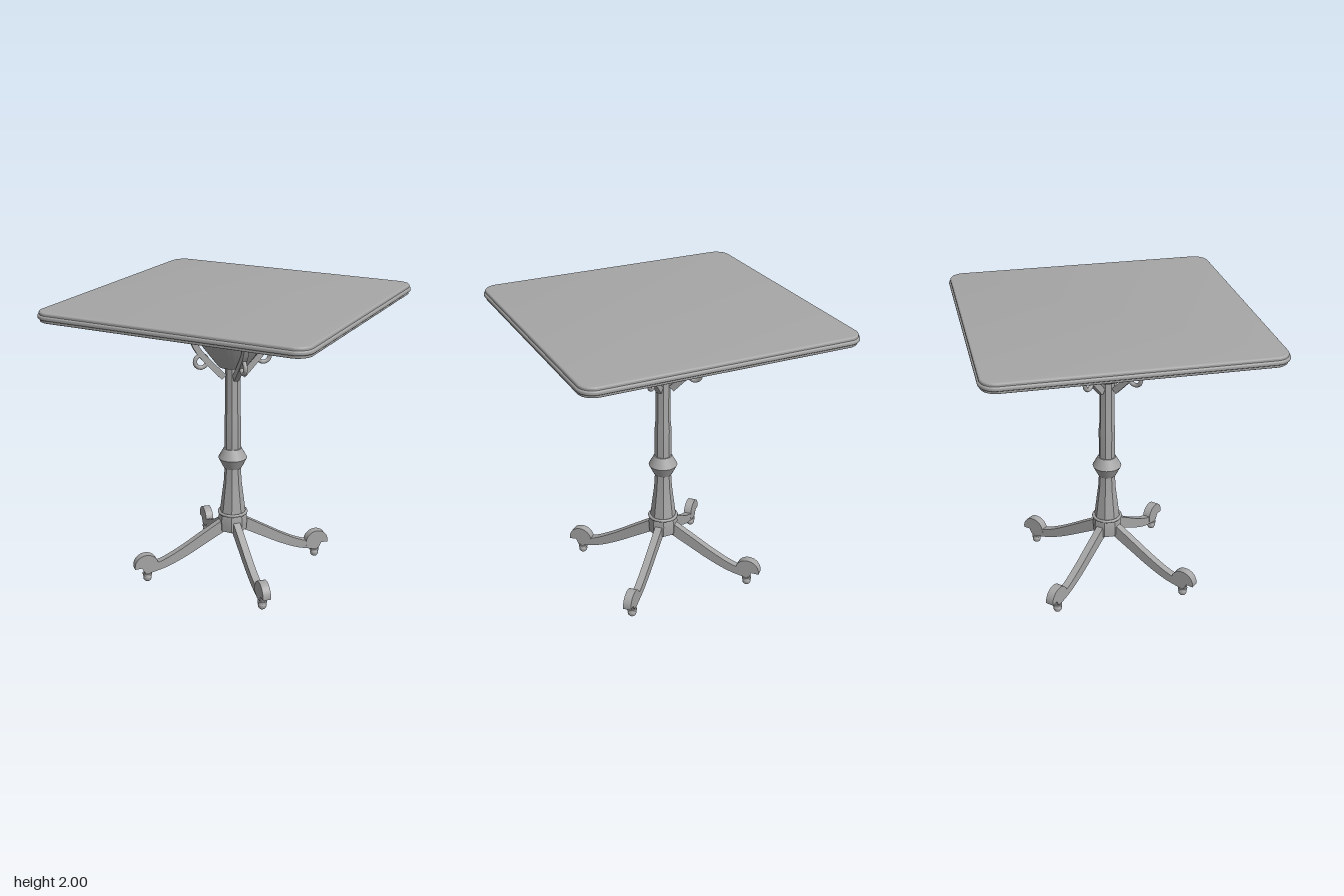
import * as THREE from 'three';
import { toCreasedNormals } from 'three/addons/utils/BufferGeometryUtils.js';

const V = (x, y) => new THREE.Vector2(x, y);

export function createModel() {
  const table = new THREE.Group();
  table.name = 'pedestalTable';
  const grey = new THREE.MeshStandardMaterial({ color: 0xa6a6a6 });
  grey.name = 'grey';

  const add = (parent, name, geometry, crease = 0.6) => {
    const mesh = new THREE.Mesh(toCreasedNormals(geometry, crease), grey);
    mesh.name = name;
    parent.add(mesh);
    return mesh;
  };

  // Flat slab with rounded corners and a bevelled rim
  const slab = (half, radius, y0, y1, bevel) => {
    const h = half - bevel, r = radius - bevel, c = h - r;
    const s = new THREE.Shape();
    s.absarc(c, c, r, 0, Math.PI / 2);
    s.absarc(-c, c, r, Math.PI / 2, Math.PI);
    s.absarc(-c, -c, r, Math.PI, Math.PI * 1.5);
    s.absarc(c, -c, r, Math.PI * 1.5, Math.PI * 2);
    const g = new THREE.ExtrudeGeometry(s, {
      depth: y1 - y0 - 2 * bevel, bevelThickness: bevel, bevelSize: bevel, bevelSegments: 3, curveSegments: 8,
    });
    return g.rotateX(-Math.PI / 2).translate(0, y0 + bevel, 0);
  };

  // Extrude a shape, centred on its own plane
  const plate = (shape, width) =>
    new THREE.ExtrudeGeometry(shape, { depth: width, bevelEnabled: false, curveSegments: 14 }).translate(0, 0, -width / 2);

  // Curved bar whose thickness varies along a path of (radius, height) points
  const bar = (points, t0, t1, width) => {
    const curve = new THREE.SplineCurve(points.map(([x, y]) => V(x, y)));
    const upper = [], lower = [];
    for (let i = 0; i <= 18; i++) {
      const u = i / 18, p = curve.getPoint(u), t = curve.getTangent(u);
      const n = V(-t.y, t.x).multiplyScalar((t0 + (t1 - t0) * u) / 2);
      upper.push(p.clone().add(n));
      lower.unshift(p.clone().sub(n));
    }
    return plate(new THREE.Shape([...upper, ...lower]), width);
  };

  // Lathed part; octagons are turned so that a face looks forward
  const turned = (points, sides) => {
    const k = sides === 8 ? 1 / Math.cos(Math.PI / 8) : 1;
    const g = new THREE.LatheGeometry(points.map(([r, y]) => V(r * k, y)), sides);
    return sides === 8 ? g.rotateY(Math.PI / 8) : g;
  };

  // Table top: lower lip, bead and upper lip
  const top = new THREE.Group();
  top.name = 'tableTop';
  table.add(top);
  add(top, 'lowerLip', slab(0.93, 0.1, 1.932, 1.96, 0.005));
  add(top, 'edgeBead', slab(0.943, 0.11, 1.95, 1.98, 0.012));
  add(top, 'upperLip', slab(0.933, 0.1, 1.97, 2, 0.011));
  add(table, 'mountingPlate', new THREE.BoxGeometry(1.036, 0.057, 1.036).translate(0, 1.904, 0));

  // Funnel below the plate
  add(table, 'funnel', turned([[0, 1.525], [0.1, 1.525], [0.24, 1.71], [0.285, 1.88]], 32), 0.4);

  // Pedestal
  add(table, 'upperColumn', turned([[0.053, 0.92], [0.053, 1.14], [0.048, 1.2], [0.048, 1.54]], 8));
  add(table, 'collar', turned([[0.05, 0.785], [0.062, 0.785], [0.1, 0.86], [0.062, 0.93], [0.045, 0.93]], 24), 0.5);
  add(table, 'lowerColumn', turned([[0.085, 0.44], [0.072, 0.56], [0.058, 0.68], [0.052, 0.79]], 8));
  add(table, 'baseRing', new THREE.TorusGeometry(0.095, 0.011, 8, 32).rotateX(Math.PI / 2).translate(0, 0.45, 0), 1);
  add(table, 'hub', turned([[0, 0.32], [0.09, 0.32], [0.095, 0.4], [0.085, 0.455], [0, 0.455]], 8));

  // Half-disc scroll for the foot
  const scroll = new THREE.Shape();
  scroll.absarc(0.64, 0.125, 0.085, -0.15, Math.PI * 1.1);
  scroll.lineTo(0.6, 0.075);
  scroll.lineTo(0.655, 0.075);
  scroll.lineTo(0.675, 0.115);

  // Four brackets and four legs on the diagonals
  for (let i = 0; i < 4; i++) {
    const angle = Math.PI / 4 + i * Math.PI / 2;
    const bracket = new THREE.Group();
    bracket.name = 'bracket' + (i + 1);
    bracket.rotation.y = angle;
    table.add(bracket);
    add(bracket, 'bracketArm', bar([[0.515, 1.862], [0.41, 1.855], [0.33, 1.81], [0.285, 1.73], [0.24, 1.645],
      [0.16, 1.55], [0.065, 1.45]], 0.032, 0.045, 0.036));
    add(bracket, 'bracketRing', new THREE.TorusGeometry(0.043, 0.015, 8, 20).translate(0.222, 1.572, 0), 1);

    const leg = new THREE.Group();
    leg.name = 'leg' + (i + 1);
    leg.rotation.y = angle;
    table.add(leg);
    add(leg, 'legArm', bar([[0.06, 0.365], [0.21, 0.28], [0.36, 0.195], [0.5, 0.13], [0.63, 0.095]], 0.085, 0.055, 0.05));
    add(leg, 'footScroll', plate(scroll, 0.056));
    add(leg, 'casterNeck', new THREE.CylinderGeometry(0.024, 0.024, 0.05, 16).translate(0.632, 0.073, 0));
    add(leg, 'casterCollar', new THREE.CylinderGeometry(0.033, 0.033, 0.016, 16).translate(0.632, 0.057, 0));
    add(leg, 'casterBall', new THREE.SphereGeometry(0.03, 16, 12).translate(0.632, 0.03, 0), 1);
  }
  return table;
}
